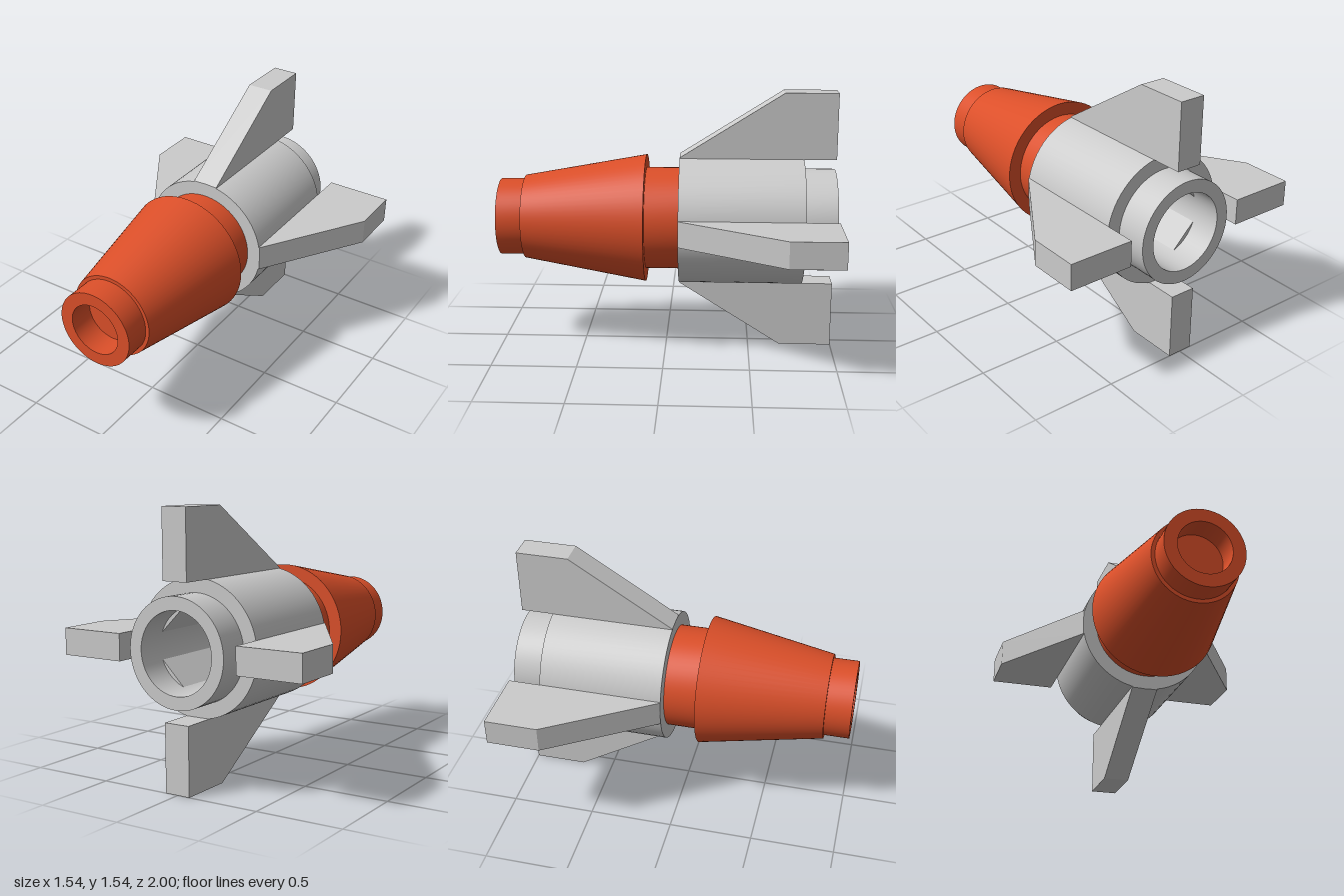
import * as THREE from 'three';
import { toCreasedNormals } from 'three/addons/utils/BufferGeometryUtils.js';

const AXIS_Y = 0.77;
const grey = new THREE.MeshStandardMaterial({ color: 0xcccccc });
const orange = new THREE.MeshStandardMaterial({ color: 0xdb4f29 });

// Solid of revolution about z, from [radius, z] pairs
function turned(name, profile, material) {
  const points = profile.map(([r, z]) => new THREE.Vector2(r, z));
  const geometry = new THREE.LatheGeometry(points, 64).rotateX(Math.PI / 2);
  const mesh = new THREE.Mesh(toCreasedNormals(geometry, 0.5), material);
  mesh.name = name;
  return mesh;
}

function extruded(name, shape, depth) {
  const geometry = new THREE.ExtrudeGeometry(shape, { depth, bevelEnabled: false, curveSegments: 12 });
  const mesh = new THREE.Mesh(toCreasedNormals(geometry, 0.5), grey);
  mesh.name = name;
  return mesh;
}

export function createModel() {
  const model = new THREE.Group();
  model.name = 'rocket';
  const rocket = new THREE.Group();
  rocket.name = 'rocketBody';
  rocket.position.y = AXIS_Y;
  model.add(rocket);

  // Tapered nose with a blind hole in front and a socket behind
  rocket.add(turned('noseCone', [
    [0, 0.1], [0.235, 0.1], [0.235, -0.08], [0.305, -0.08], [0.305, 0.12],
    [0.383, 0.12], [0.252, 0.85], [0.23, 0.85], [0.23, 1],
    [0.155, 1], [0.155, 0.85], [0, 0.85],
  ], orange));

  // Hollow hull with rear nozzle ring and a hidden stud inside the nose
  rocket.add(turned('hull', [
    [0.155, 0.08], [0.155, -0.08], [0.23, -0.08], [0.23, -1], [0.305, -1],
    [0.305, -0.81], [0.387, -0.81], [0.387, -0.08], [0.23, -0.08],
    [0.23, 0.08], [0.155, 0.08],
  ], grey));

  // Corner blocks that leave a cross-shaped channel in the bore
  const a = 0.077, r = 0.23;
  const start = Math.asin(a / r);
  const corner = new THREE.Shape();
  corner.moveTo(a, a);
  corner.absarc(0, 0, r, start, Math.PI / 2 - start, false);
  corner.closePath();

  // Swept fin outline: x is the radius, y runs along the hull
  const fin = new THREE.Shape([
    [0.38, -1], [0.77, -1], [0.77, -0.69], [0.385, -0.08], [0.38, -0.08],
  ].map(([x, y]) => new THREE.Vector2(x, y)));

  for (let i = 0; i < 4; i++) {
    const quarter = new THREE.Group();
    quarter.name = 'finQuarter' + (i + 1);
    quarter.rotation.z = i * Math.PI / 2;

    const block = extruded('channelBlock', corner, 0.75);
    block.position.z = -0.83;

    const blade = extruded('fin', fin, 0.154);
    blade.rotation.x = Math.PI / 2;
    blade.position.y = 0.077;

    quarter.add(block, blade);
    rocket.add(quarter);
  }
  return model;
}
